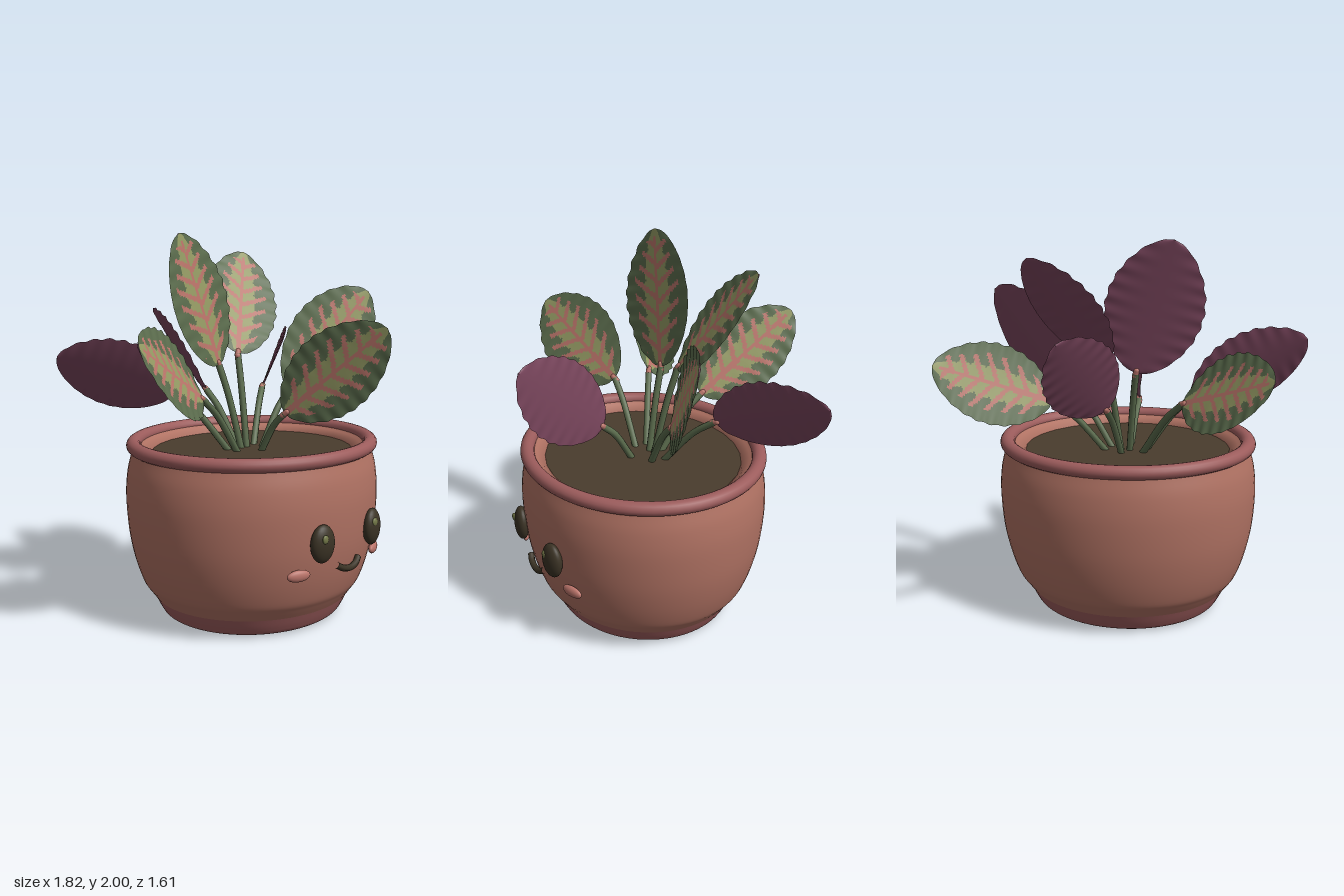
import * as THREE from 'three';

const V = (x, y, z) => new THREE.Vector3(x, y, z);

export function createModel() {
  const mat = (name, color) => {
    const m = new THREE.MeshStandardMaterial({ color });
    m.name = name;
    return m;
  };
  const terracotta = mat('terracotta', 0xb07263);
  const clayRed = mat('clay red', 0x9c5c5c);
  const soilBrown = mat('soil brown', 0x4a3d2d);
  const green = mat('leaf green', 0x5b6c4d);
  const lime = mat('pale leaf green', 0x959b64);
  const pink = mat('vein pink', 0xba746a);
  const purple = mat('leaf underside purple', 0x7a465d);
  const dark = mat('face dark brown', 0x3b3325);
  const glint = mat('eye glint olive', 0x737848);

  const model = new THREE.Group();
  model.name = 'pottedPlant';
  const add = (parent, name, geometry, material) => {
    const mesh = new THREE.Mesh(geometry, material);
    mesh.name = name;
    parent.add(mesh);
    return mesh;
  };

  // Pot: lathed parts, slightly flattened front to back
  const pot = new THREE.Group();
  pot.name = 'pot';
  pot.position.set(0.025, 0, 0.06);
  pot.scale.z = 0.925;
  model.add(pot);
  const lathe = (name, pts, material, smooth = 0) => {
    let p = pts.map(([r, y]) => new THREE.Vector2(r, y));
    if (smooth) p = new THREE.SplineCurve(p).getPoints(smooth);
    return add(pot, name, new THREE.LatheGeometry(p, 72), material);
  };
  lathe('foot', [[0.155, 0.1], [0.158, 0.045], [0.185, 0.018], [0.25, 0.03], [0.34, 0.025],
    [0.44, 0], [0.495, 0.015], [0.522, 0.05], [0.55, 0.105]], clayRed, 40);
  lathe('body', [[0.55, 0.105], [0.584, 0.15], [0.617, 0.2], [0.658, 0.32], [0.688, 0.47],
    [0.7, 0.65], [0.69, 0.78], [0.668, 0.87], [0.66, 0.9]], terracotta, 40);
  lathe('innerWall', [[0.622, 0.915], [0.6, 0.9], [0.553, 0.868], [0.54, 0.7], [0.5, 0.1], [0.155, 0.1]], terracotta);
  const rimPts = [];
  for (let i = 0; i <= 16; i++) {
    const a = -Math.PI / 2 + (i / 16) * Math.PI * 2;
    rimPts.push([0.655 + 0.04 * Math.cos(a), 0.914 + 0.036 * Math.sin(a)]);
  }
  lathe('rim', rimPts, clayRed);
  const soil = add(pot, 'soil', new THREE.CircleGeometry(0.557, 28), soilBrown);
  soil.rotation.x = -Math.PI / 2;
  soil.position.y = 0.872;

  // Face on the front of the pot
  const ball = (name, material, p, s, yaw = 0) => {
    const m = add(model, name, new THREE.SphereGeometry(1, 28, 18), material);
    m.position.set(...p);
    m.scale.set(...s);
    m.rotation.y = yaw;
  };
  for (const [side, s] of [['right', -1], ['left', 1]]) {
    const x = 0.025 + s * 0.208;
    ball(side + 'Eye', dark, [x, 0.517, 0.692], [0.071, 0.096, 0.04], s * 0.2);
    ball(side + 'EyeGlint', glint, [x - 0.022, 0.55, 0.726], [0.02, 0.022, 0.01]);
    ball(side + 'Cheek', pink, [0.022 + s * 0.315, 0.37, 0.634], [0.064, 0.03, 0.02], s * 0.38);
  }
  const smile = new THREE.CatmullRomCurve3([V(-0.068, 0.383, 0.693), V(-0.03, 0.362, 0.704),
    V(0.024, 0.351, 0.708), V(0.078, 0.362, 0.704), V(0.115, 0.383, 0.693)]);
  add(model, 'mouth', new THREE.TubeGeometry(smile, 20, 0.017, 8), dark);

  // Leaf surface: a scalloped, nearly flat oval grid; face 1 = top, -1 = underside
  const NU = 72, NV = 46;
  function leafSide(L, W, face) {
    const pos = [], lists = [[], [], []];
    const half = (u) => W * Math.pow(Math.max(0, Math.sin(Math.PI * Math.pow(u, 0.97))), 0.56)
      * (1 + 0.02 * Math.cos(u * Math.PI * 18));
    for (let i = 0; i <= NU; i++) {
      const u = i / NU, w = half(u);
      for (let j = 0; j <= NV; j++) {
        const v = (j / NV) * 2 - 1;
        const ripple = 0.003 * v * v * Math.cos(u * Math.PI * 18);
        const cup = 0.012 * v * v * Math.sin(Math.PI * u);
        pos.push(v * w, u * L, cup + ripple + face * 0.005 * (1 - v * v));
      }
    }
    // Pale lobed centre, pink midrib and forward-slanting side veins
    const colourOf = (u, v) => {
      const x = Math.abs(v) * half(u);
      const phase = (u * L - x * 0.6) / (L / 8) + (v > 0 ? 0.3 : 0);
      const off = Math.abs(phase - Math.round(phase));
      if (x < 0.014 * (1.1 - 0.5 * u) && u < 0.95) return 2;
      const reach = 0.76 - 0.12 * Math.abs(Math.sin(Math.round(phase) * 2.3));
      if (off < 0.17 && Math.abs(v) < reach && u > 0.1 && u < 0.92) return 2;
      return Math.abs(v) < 0.36 + 0.2 * (0.5 - off) && u > 0.03 ? 1 : 0;
    };
    for (let i = 0; i < NU; i++) {
      for (let j = 0; j < NV; j++) {
        const a = i * (NV + 1) + j, b = a + 1, c = a + NV + 1, d = c + 1;
        const k = face > 0 ? colourOf((i + 0.5) / NU, ((j + 0.5) / NV) * 2 - 1) : 0;
        if (face > 0) lists[k].push(a, b, d, a, d, c);
        else lists[k].push(a, d, b, a, c, d);
      }
    }
    const g = new THREE.BufferGeometry();
    g.setAttribute('position', new THREE.Float32BufferAttribute(pos, 3));
    g.setIndex(lists.flat());
    let start = 0;
    lists.forEach((l, k) => {
      g.addGroup(start, l.length, k);
      start += l.length;
    });
    g.computeVertexNormals();
    return g;
  }

  // Each leaf: base, tip, direction the green side faces, half width
  const leaves = [
    ['rightLeaf', [-0.335, 1.175, 0.04], [-0.905, 1.485, 0.2], [0.45, 0.42, 0.8], 0.228],
    ['frontLeaf', [0.02, 1.085, 0.285], [0.185, 1.54, 0.79], [-0.91, -0.05, 0.33], 0.208],
    ['tallRightLeaf', [-0.065, 1.315, -0.1], [-0.28, 2.0, -0.178], [0.17, 0.16, 0.95], 0.25],
    ['tallLeftLeaf', [0.095, 1.365, -0.11], [0.42, 1.91, -0.36], [-0.25, 0.5, 0.8], 0.218],
    ['backRightLeaf', [-0.33, 1.185, -0.17], [-0.83, 1.39, -0.49], [0.57, 0.5, -0.6], 0.212],
    ['leftLeaf', [0.325, 1.155, 0.06], [0.845, 1.69, 0.22], [-0.42, 0.18, 0.86], 0.24],
    ['backLeftLeaf', [0.37, 1.155, -0.17], [0.905, 1.372, -0.46], [-0.56, 0.36, -0.75], 0.212],
    ['backLeaf', [0.035, 1.155, -0.29], [0.115, 1.57, -0.8], [0.72, 0.45, 0.49], 0.197],
  ];
  for (const [name, b, t, n, W] of leaves) {
    const base = V(...b), axis = V(...t).sub(base), L = axis.length();
    axis.normalize();
    const normal = V(...n).addScaledVector(axis, -V(...n).dot(axis)).normalize();
    const across = V(0, 0, 0).crossVectors(axis, normal);
    const leaf = new THREE.Group();
    leaf.name = name;
    leaf.quaternion.setFromRotationMatrix(new THREE.Matrix4().makeBasis(across, axis, normal));
    leaf.position.copy(base);
    model.add(leaf);
    add(leaf, 'leafTop', leafSide(L, W, 1), [green, lime, pink]);
    add(leaf, 'leafUnderside', leafSide(L, W, -1), [purple, purple, purple]);

    // Stem rising from the soil and bending outward, with a pink joint at the blade
    const root = V(0.022 + (b[0] - 0.022) * 0.28, 0.86, 0.05 + (b[2] - 0.05) * 0.3);
    const mid = root.clone().lerp(base, 0.6).add(V(0, 0.03, 0));
    const path = new THREE.CatmullRomCurve3([root, mid, base]);
    add(model, name + 'Stem', new THREE.TubeGeometry(path, 12, 0.018, 8), green);
    add(leaf, 'leafJoint', new THREE.CapsuleGeometry(0.016, 0.03, 4, 10), pink);
  }
  return model;
}
